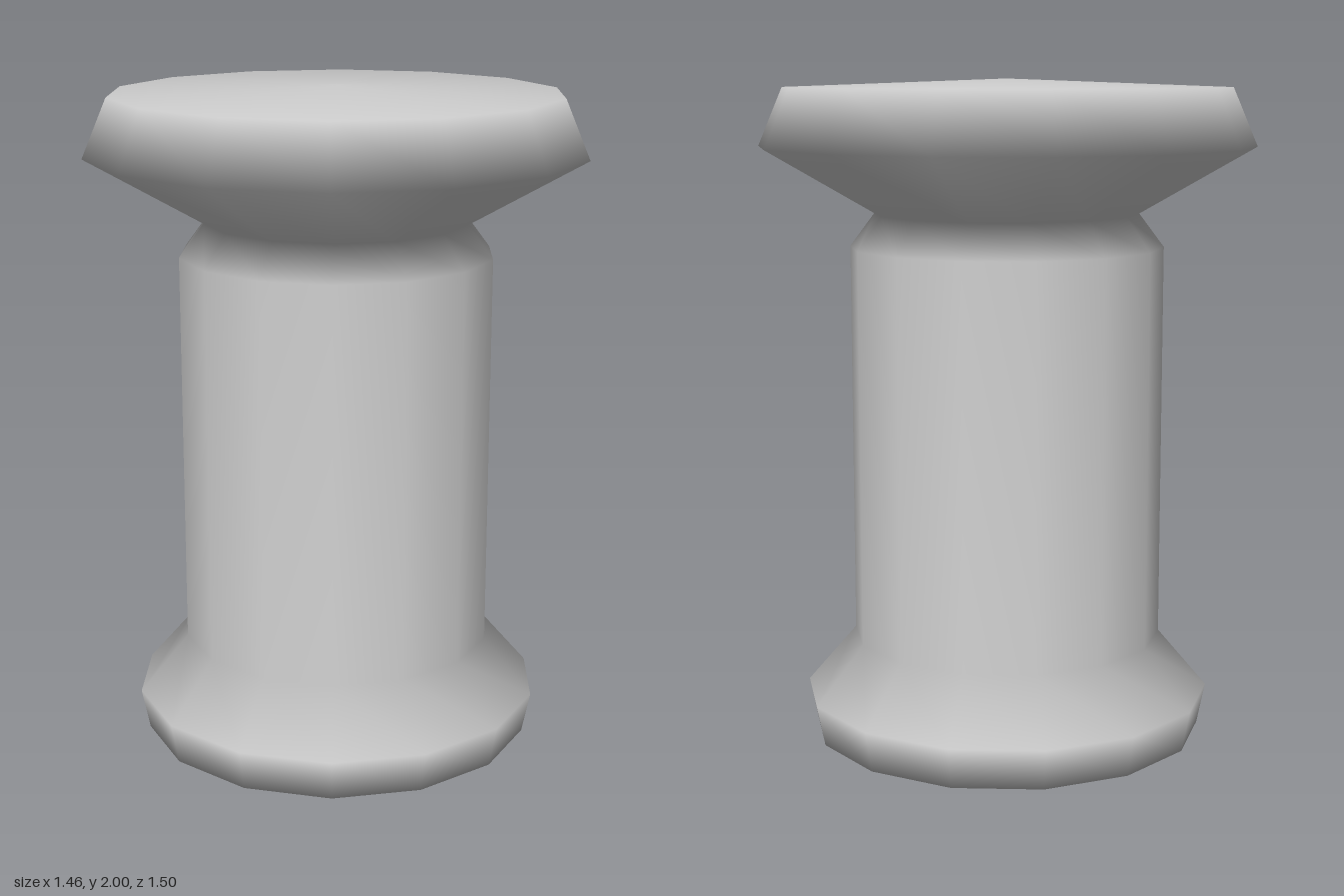
import * as THREE from 'three';

export function createModel() {
  const group = new THREE.Group();
  group.name = 'peg';

  // Profile [radius, height]: base foot, straight shaft, pinched neck, flared head, shallow dome
  const profile = [
    [0, 0], [0.6, 0], [0.625, 0.125], [0.475, 0.3],
    [0.475, 1.5], [0.4, 1.6], [0.75, 1.8], [0.675, 1.975], [0, 2],
  ].map(([r, y]) => new THREE.Vector2(r, y));

  // Fourteen sides with smooth shading, one corner facing the front
  const body = new THREE.Mesh(
    new THREE.LatheGeometry(profile, 14),
    new THREE.MeshStandardMaterial({ color: 0xcccccc }),
  );
  body.name = 'turnedBody';
  group.add(body);
  return group;
}
